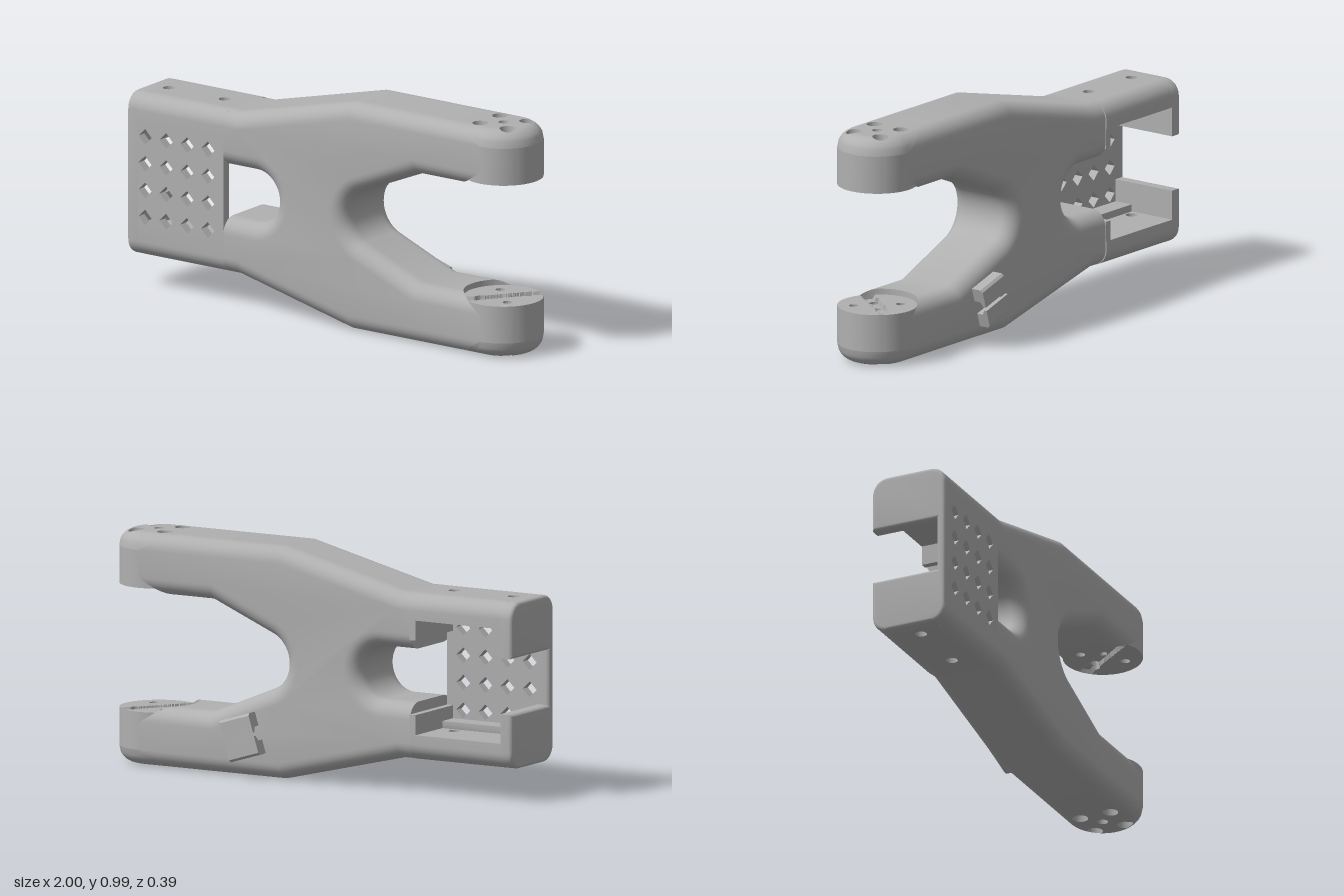
import * as THREE from 'three';
import { toCreasedNormals } from 'three/addons/utils/BufferGeometryUtils.js';

const H = 0.985;                    // full height, mirrored about H / 2
const BACK = -0.14, FRONT = 0.195;
const R = (FRONT - BACK) / 2;       // fork tip radius
const TX = 0.83, TZ = 0.0275;       // fork tip centre
const FILLET = 0.07;

const V = (x, y) => new THREE.Vector2(x, y);

// Points on an arc, angles in degrees
function arc(cx, cy, r, a0, a1, n) {
  return Array.from({ length: n + 1 }, (_, i) => {
    const a = THREE.MathUtils.degToRad(a0 + (a1 - a0) * i / n);
    return V(cx + r * Math.cos(a), cy + r * Math.sin(a));
  });
}

// Applies a rule to each vertex
function moveVertices(geo, rule) {
  const p = geo.attributes.position, v = new THREE.Vector3();
  for (let i = 0; i < p.count; i++) {
    rule(v.fromBufferAttribute(p, i));
    p.setXYZ(i, v.x, v.y, v.z);
  }
  return geo;
}

// Copy flipped top to bottom, with corner order restored
function mirrorY(geo) {
  const g = geo.index ? geo.toNonIndexed() : geo.clone();
  const p = g.attributes.position;
  for (let i = 0; i < p.count; i += 3) {
    const t = [0, 2, 1].map(k => new THREE.Vector3().fromBufferAttribute(p, i + k));
    t.forEach((v, k) => p.setXYZ(i + k, v.x, H - v.y, v.z));
  }
  return g;
}

const extrude = (shape, depth, extra = {}) =>
  new THREE.ExtrudeGeometry(shape, { depth, bevelEnabled: false, curveSegments: 16, ...extra });

// Section drawn as (-z, y), swept along x
const alongX = (points, x0, x1) =>
  extrude(new THREE.Shape(points), x1 - x0).rotateY(Math.PI / 2).translate(x0, 0, 0);

function box(x0, x1, y0, y1, z0, z1) {
  return new THREE.BoxGeometry(x1 - x0, y1 - y0, z1 - z0)
    .translate((x0 + x1) / 2, (y0 + y1) / 2, (z0 + z1) / 2);
}

// Forked body with filleted edges, cut flat at the block and hollow-round at the tips
function bodyGeometry() {
  const m = H / 2;
  const pts = [
    V(-0.6, 0.14), V(-0.44, 0.14), V(0.14, 0), V(1, 0), V(1, 0.255), V(0.49, 0.255),
    ...arc(0.245, m, 0.125, 245, 115, 20),
    V(0.49, H - 0.255), V(1, H - 0.255), V(1, H), V(0.14, H), V(-0.44, H - 0.14), V(-0.6, H - 0.14),
    V(-0.6, m + 0.1125), ...arc(-0.3525, m, 0.1125, 90, -90, 24), V(-0.6, m - 0.1125),
  ];
  const geo = extrude(new THREE.Shape(pts), FRONT - BACK - 2 * FILLET, {
    bevelEnabled: true, bevelSize: FILLET, bevelThickness: FILLET,
    bevelOffset: -FILLET, bevelSegments: 8, steps: 14,
  }).translate(0, 0, BACK + FILLET);
  return moveVertices(geo, v => {
    const end = TX - Math.sqrt(Math.max(0, R * R - (v.z - TZ) ** 2));
    v.x = THREE.MathUtils.clamp(v.x, -0.5, end);
  });
}

// Fork tip: round cap, flat pad, side wall and hole linings
const PAD = 0.755;
const tipHoles = [[-1, -1], [1, -1], [-1, 1], [1, 1], [0, 0]].map(([a, b]) => ({
  x: TX + a * 0.07, z: TZ + b * 0.07, outer: a ? 0.033 : 0.022, inner: a ? 0.02 : 0.018,
}));

function capHeight(x, z) {
  const d = Math.hypot(Math.max(0, x - TX), z - TZ) - (R - FILLET);
  return d > 0 ? H - FILLET + Math.sqrt(Math.max(0, FILLET ** 2 - d * d)) : H;
}

function padHeight(x, z) {
  return Math.abs((x - TX) * 0.8 + (z - TZ) * 0.6) < 0.025 ? PAD + 0.02 : PAD;
}

// Polar disc whose vertices inside a hole are pushed to its rim
function holedDisc(height, radiusKey, up) {
  const NR = 30, NA = 96, pos = [], inside = [], index = [];
  for (let i = 0; i <= NR; i++) for (let j = 0; j <= NA; j++) {
    const a = j / NA * Math.PI * 2, r = R * i / NR;
    let x = TX + r * Math.cos(a), z = TZ + r * Math.sin(a);
    const h = tipHoles.findIndex(o => Math.hypot(x - o.x, z - o.z) < o[radiusKey]);
    if (h >= 0) {
      const o = tipHoles[h], d = Math.hypot(x - o.x, z - o.z) || 1;
      x = o.x + (x - o.x) / d * o[radiusKey];
      z = o.z + (z - o.z) / d * o[radiusKey];
    }
    inside.push(h);
    pos.push(x, height(x, z), z);
  }
  const tri = (a, b, c) => {
    if (inside[a] >= 0 && inside[a] === inside[b] && inside[a] === inside[c]) return;
    index.push(...(up ? [a, b, c] : [a, c, b]));
  };
  for (let i = 0; i < NR; i++) for (let j = 0; j < NA; j++) {
    const a = i * (NA + 1) + j, b = a + NA + 1;
    tri(a, a + 1, b);
    tri(b, a + 1, b + 1);
  }
  const geo = new THREE.BufferGeometry();
  geo.setAttribute('position', new THREE.Float32BufferAttribute(pos, 3));
  geo.setIndex(index);
  return geo;
}

// Upper end block: corner rails, drilled wall and inner step
function blockParts() {
  const wall = new THREE.Shape([V(-0.945, -0.12), V(-0.5, -0.12), V(-0.5, 0.07), V(-0.945, 0.07)]);
  for (const x of [-0.9, -0.61]) wall.holes.push(new THREE.Path(arc(x, -0.035, 0.025, 360, 0, 20)));
  return {
    backRail: alongX([V(0.07, 0.735), V(0.145, 0.735), ...arc(0.075, 0.775, 0.07, 0, 90, 10), V(0.07, 0.845)], -0.945, -0.5),
    frontRail: alongX([V(-0.07, 0.735), V(-0.12, 0.845), ...arc(-0.125, 0.775, 0.07, 90, 180, 10),
      V(-0.195, 0.705), V(-0.07, 0.705)], -0.945, -0.5),
    drilledWall: extrude(wall, 0.11).rotateX(-Math.PI / 2).translate(0, 0.735, 0),
    innerStep: box(-0.53, -0.5, 0.65, 0.736, -0.144, 0.156),
  };
}

// Closed end of the block with a slot open to the back
function endGeometry() {
  const pts = [
    ...arc(-0.125, 0.21, 0.07, 180, 270, 8), ...arc(0.075, 0.21, 0.07, 270, 360, 8),
    V(0.145, 0.375), V(-0.155, 0.375), V(-0.155, 0.61), V(0.145, 0.61),
    ...arc(0.075, 0.775, 0.07, 0, 90, 8), ...arc(-0.125, 0.775, 0.07, 90, 180, 8),
  ];
  const geo = extrude(new THREE.Shape(pts), 0.2, {
    bevelEnabled: true, bevelSize: 0.015, bevelThickness: 0.015, bevelOffset: -0.015, bevelSegments: 4,
  }).rotateY(Math.PI / 2).translate(-0.985, 0, 0);
  return moveVertices(geo, v => { v.x = Math.min(v.x, -0.945); });
}

// Front plate with a grid of diamond holes
function plateGeometry() {
  const shape = new THREE.Shape([V(-0.945, 0.28), V(-0.5, 0.28), V(-0.5, 0.705), V(-0.945, 0.705)]);
  for (const x of [-0.905, -0.796, -0.688, -0.58])
    for (const dy of [-0.175, -0.058, 0.058, 0.175])
      shape.holes.push(new THREE.Path(arc(x, H / 2 + dy, 0.034, 360, 90, 3)));
  return extrude(shape, 0.04).translate(0, 0, FRONT - 0.04);
}

export function createModel() {
  const model = new THREE.Group();
  const grey = new THREE.MeshStandardMaterial({ color: 0xb0b0b0, side: THREE.DoubleSide });
  grey.name = 'grey';
  const add = (name, geo) => {
    const mesh = new THREE.Mesh(toCreasedNormals(geo, 0.5), grey);
    mesh.name = name;
    model.add(mesh);
  };
  const addPair = (name, geo) => {
    add(name + 'Upper', geo);
    add(name + 'Lower', mirrorY(geo));
  };

  add('forkedBody', bodyGeometry());
  add('blockEnd', endGeometry());
  add('perforatedPlate', plateGeometry());
  for (const [name, geo] of Object.entries(blockParts())) addPair(name, geo);

  // Fork tips
  addPair('tipCap', holedDisc(capHeight, 'outer', true));
  addPair('tipPad', holedDisc(padHeight, 'inner', false));
  const wallH = H - FILLET - PAD;
  addPair('tipWall', new THREE.CylinderGeometry(R, R, wallH, 96, 1, true).translate(TX, PAD + wallH / 2, TZ));
  for (const o of tipHoles) {
    const lining = new THREE.CylinderGeometry(o.outer, o.inner, 0.2, 24, 1, true).translate(o.x, 0.88, o.z);
    addPair('tipHole', mirrorY(mirrorY(moveVertices(lining, v => {
      v.y = v.y > 0.88 ? capHeight(v.x, v.z) : padHeight(v.x, v.z);
    }))));
  }

  // Cable clip on the back: two facing hooks
  const hook = [[0.03, 0], [0.03, 0.03], [0.008, 0.042], [0.008, 0.055], [0.08, 0.055], [0.09, 0.045], [0.09, 0]];
  for (const s of [1, -1]) {
    const pts = hook.map(([v, d]) => V(d, s * v));
    const geo = extrude(new THREE.Shape(pts), 0.15).rotateY(Math.PI / 2).translate(-0.075, 0, 0)
      .rotateZ(-0.3).translate(0.305, 0.1725, BACK);
    add('cableHook', geo);
  }
  return model;
}
